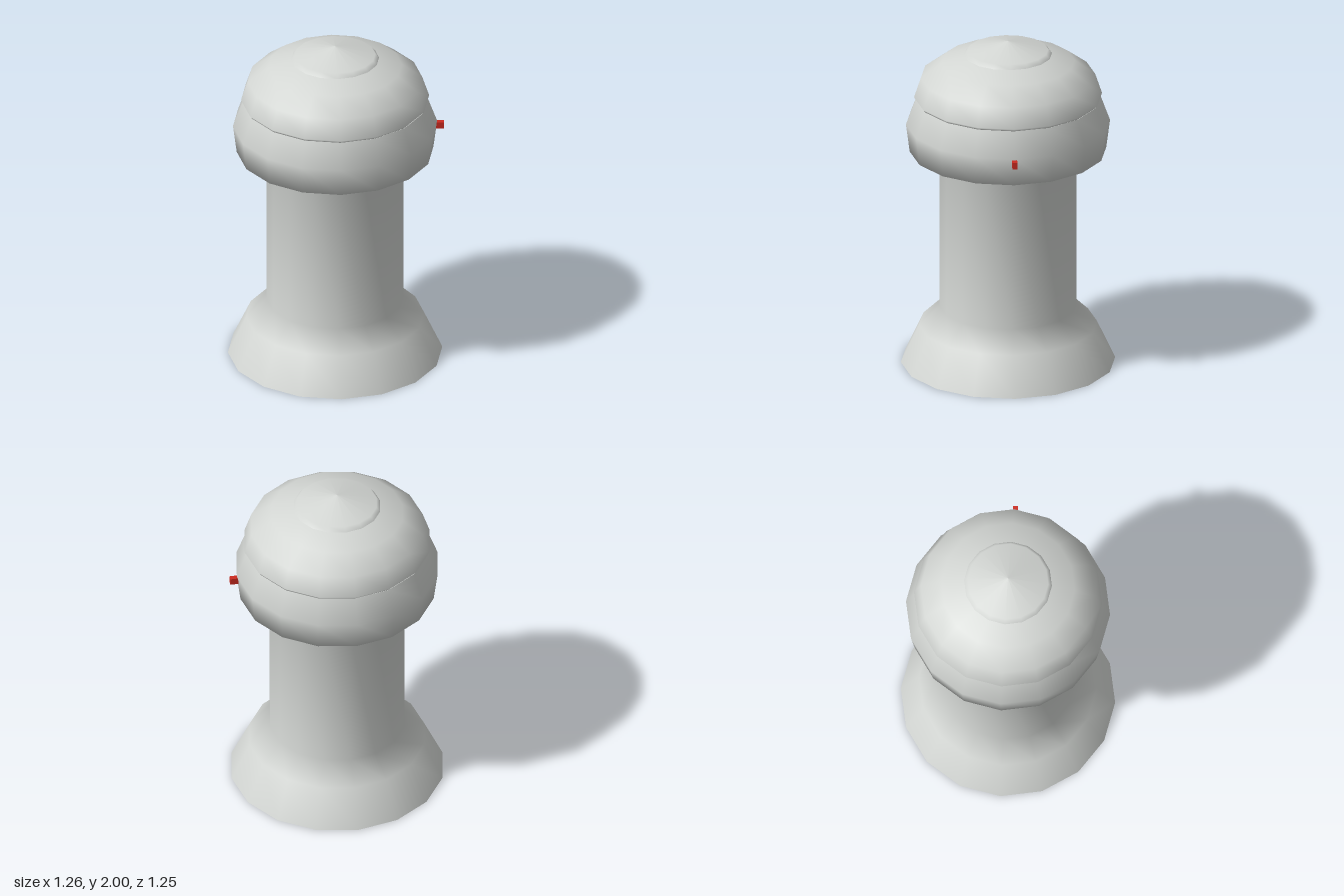
import * as THREE from 'three';

const SIDES = 16;

export function createModel() {
  const model = new THREE.Group();
  const grey = new THREE.MeshStandardMaterial({ color: 0xd3d6d3, side: THREE.DoubleSide });
  grey.name = 'light grey';
  const red = new THREE.MeshStandardMaterial({ color: 0xcc2a20 });
  red.name = 'red';

  // Turned part from [radius, height] pairs, listed bottom to top
  function turned(name, profile) {
    const points = profile.map(([r, y]) => new THREE.Vector2(r, y));
    const mesh = new THREE.Mesh(new THREE.LatheGeometry(points, SIDES), grey);
    mesh.name = name;
    mesh.position.x = -0.005;
    model.add(mesh);
  }

  // Flared hollow foot, straight column and bulging head in one smooth skin
  turned('body', [
    [0.627, 0], [0.52, 0.23], [0.4, 0.345], [0.4, 1.265],
    [0.575, 1.32], [0.597, 1.49], [0.54, 1.645],
  ]);

  // Dome sitting slightly proud of the head
  turned('dome', [
    [0.535, 1.643], [0.55, 1.66], [0.51, 1.78], [0.39, 1.87], [0.25, 1.917],
  ]);

  // Shallow tip on the dome
  turned('domeTip', [[0.257, 1.917], [0.235, 1.943], [0, 2]]);

  // Small button on the left side of the head
  const button = new THREE.Mesh(new THREE.BoxGeometry(0.05, 0.04, 0.03), red);
  button.name = 'sideButton';
  button.position.set(0.607, 1.465, 0);
  model.add(button);

  return model;
}
